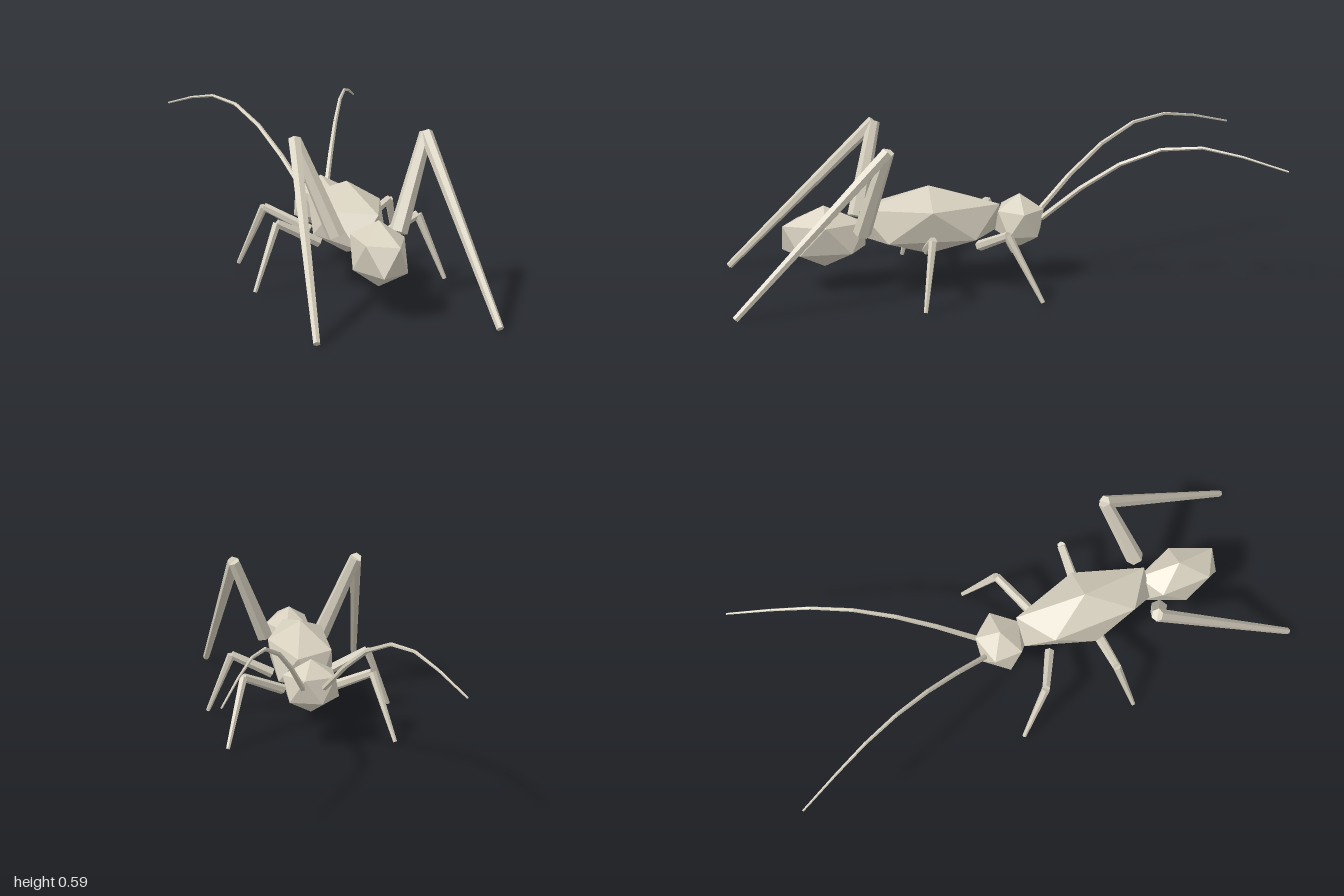
import * as THREE from 'three';
import { ConvexGeometry } from 'three/addons/geometries/ConvexGeometry.js';

const shell = new THREE.MeshStandardMaterial({ color: 0xd6cfbe, flatShading: true });
shell.name = 'pale shell';

// Stretched twenty-sided body lump with its poles at top and bottom
function lump(name, [cx, cy, cz], [rx, ry, rz]) {
  const points = [new THREE.Vector3(0, ry, 0), new THREE.Vector3(0, -ry, 0)];
  for (let i = 0; i < 5; i++) {
    const a = (i * 2 * Math.PI) / 5;
    const x = 0.8944 * Math.cos(a) * rx;
    const z = 0.8944 * Math.sin(a) * rz;
    points.push(new THREE.Vector3(x, 0.4472 * ry, z), new THREE.Vector3(-x, -0.4472 * ry, z));
  }
  const mesh = new THREE.Mesh(new ConvexGeometry(points), shell);
  mesh.name = name;
  mesh.position.set(cx, cy, cz);
  return mesh;
}

// Tapered rod from a to b
function rod(name, a, b, ra, rb, sides) {
  const dir = b.clone().sub(a);
  const mesh = new THREE.Mesh(new THREE.CylinderGeometry(rb, ra, dir.length(), sides), shell);
  mesh.name = name;
  mesh.position.copy(a).addScaledVector(dir, 0.5);
  mesh.quaternion.setFromUnitVectors(new THREE.Vector3(0, 1, 0), dir.normalize());
  return mesh;
}

// Jointed limb along points, with one radius per point
function limb(name, side, path, radii, sides, parts) {
  const group = new THREE.Group();
  group.name = name;
  const pts = path.map(([x, y, z]) => new THREE.Vector3(x * side, y, z));
  for (let i = 0; i < pts.length - 1; i++) {
    group.add(rod(parts[i] ?? 'segment' + i, pts[i], pts[i + 1], radii[i], radii[i + 1], sides));
  }
  return group;
}

export function createModel() {
  const model = new THREE.Group();
  model.name = 'cricket';

  // Body
  model.add(
    lump('head', [0, 0.235, -0.088], [0.118, 0.103, 0.102]),
    lump('thorax', [0, 0.252, 0.255], [0.14, 0.132, 0.308]),
    lump('abdomen', [0, 0.208, 0.645], [0.104, 0.117, 0.182])
  );

  const legParts = ['thigh', 'shin'];
  const antenna = [
    [0.25, -0.165], [0.375, -0.3], [0.475, -0.434], [0.54, -0.573],
    [0.555, -0.712], [0.53, -0.846], [0.485, -1]
  ].map(([y, z]) => [0.04 + ((-0.165 - z) / 0.835) * 0.36, y, z]);

  for (const [label, side] of [['left', 1], ['right', -1]]) {
    // Long jumping legs
    model.add(limb(label + 'HindLeg', side,
      [[0.112, 0.245, 0.515], [0.24, 0.578, 0.43], [0.317, 0.01, 0.99]],
      [0.034, 0.024, 0.013], 6, legParts));
    // Short walking legs
    model.add(limb(label + 'MiddleLeg', side,
      [[0.108, 0.168, 0.275], [0.265, 0.248, 0.275], [0.357, 0.01, 0.315]],
      [0.02, 0.016, 0.008], 6, legParts));
    model.add(limb(label + 'FrontLeg', side,
      [[0.088, 0.168, 0.077], [0.243, 0.248, -0.003], [0.314, 0.01, -0.12]],
      [0.02, 0.016, 0.008], 6, legParts));
    // Curved feelers
    model.add(limb(label + 'Antenna', side, antenna,
      antenna.map((_, i) => 0.011 - i * 0.0012), 5, []));
  }
  return model;
}
